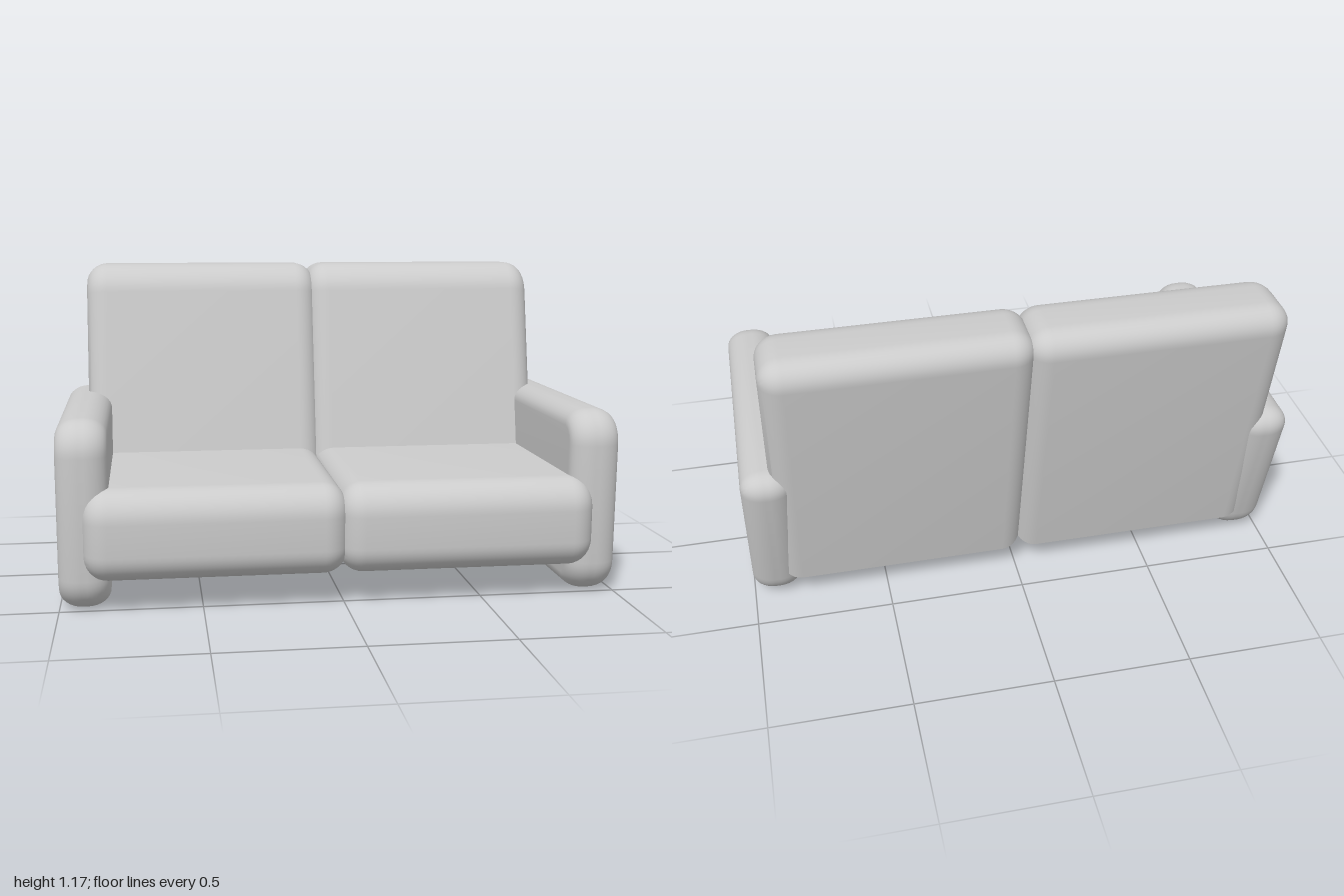
import * as THREE from 'three';
import { toCreasedNormals } from 'three/addons/utils/BufferGeometryUtils.js';

const material = new THREE.MeshStandardMaterial({ color: 0xcccccc });

// Closed polygon of [z, y, radius] corners, each rounded by its radius.
function roundedProfile(corners) {
  const shape = new THREE.Shape();
  const n = corners.length;
  const at = (i) => new THREE.Vector2(...corners[(i + n) % n].slice(0, 2));
  corners.forEach(([, , r], i) => {
    const p = at(i);
    const toPrev = at(i - 1).sub(p).normalize();
    const toNext = at(i + 1).sub(p).normalize();
    const cut = r / Math.tan(Math.acos(toPrev.dot(toNext)) / 2);
    const on = (dir, d) => p.clone().addScaledVector(dir, d);
    const a = on(toPrev, cut), b = on(toNext, cut);
    if (i === 0) shape.moveTo(a.x, a.y);
    else shape.lineTo(a.x, a.y);
    if (r > 0) {
      const c1 = on(toPrev, cut * 0.45), c2 = on(toNext, cut * 0.45);
      shape.bezierCurveTo(c1.x, c1.y, c2.x, c2.y, b.x, b.y);
    }
  });
  shape.closePath();
  return shape;
}

// Side profile swept across x, with its rims softly rounded.
function paddedSlab(corners, width, rim, depth) {
  const geometry = new THREE.ExtrudeGeometry(roundedProfile(corners), {
    depth: width - 2 * depth,
    bevelThickness: depth,
    bevelSize: rim,
    bevelOffset: -rim,
    bevelSegments: 8,
    curveSegments: 10,
  });
  geometry.translate(0, 0, depth - width / 2);
  geometry.rotateY(-Math.PI / 2);
  return toCreasedNormals(geometry, 0.7);
}

export function createModel() {
  const sofa = new THREE.Group();
  sofa.name = 'sofa';

  // Armrest: upright panel with a slanted rear edge
  const arm = paddedSlab([
    [0.54, 0.004, 0.12], [0.567, 0.677, 0.12], [-0.545, 0.677, 0.07], [-0.37, 0.004, 0.15],
  ], 0.18, 0.06, 0.08);

  // Seat cushion: rounded front, rear hidden inside the backrest
  const seat = paddedSlab([
    [0.61, 0.118, 0.1], [0.617, 0.442, 0.11], [-0.3, 0.442, 0], [-0.395, 0.118, 0],
  ], 0.919, 0.085, 0.085);

  // Back cushion: leaning slab running down to the underside of the seat
  const back = paddedSlab([
    [-0.105, 0.122, 0], [-0.315, 1.175, 0.13], [-0.627, 1.175, 0.08], [-0.414, 0.122, 0],
  ], 0.919, 0.075, 0.08);

  const add = (name, geometry, x) => {
    const mesh = new THREE.Mesh(geometry, material);
    mesh.name = name;
    mesh.position.x = x;
    sofa.add(mesh);
  };

  for (const [side, s] of [['left', 1], ['right', -1]]) {
    add(side + 'Armrest', arm, s * 0.91);
    add(side + 'SeatCushion', seat, s * 0.4455 - 0.007);
    add(side + 'BackCushion', back, s * 0.4455 - 0.007);
  }
  return sofa;
}
